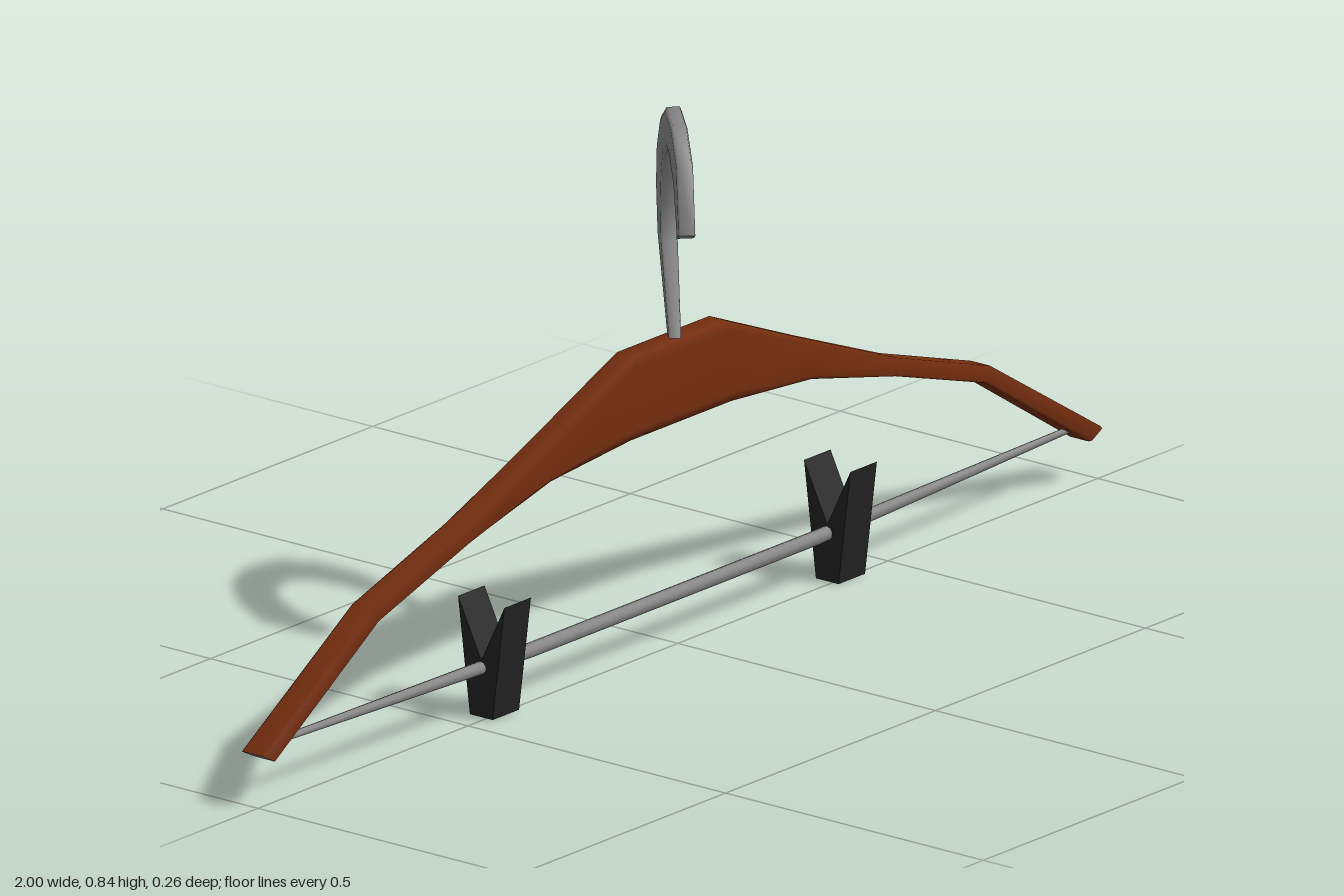
import * as THREE from 'three';

const wood = new THREE.MeshStandardMaterial({ name: 'brownWood', color: 0x752e0f });
const metal = new THREE.MeshStandardMaterial({ name: 'greyMetal', color: 0x858585 });
const black = new THREE.MeshStandardMaterial({ name: 'blackPlastic', color: 0x222222 });

const MID_Z = -0.0115;

// Cross-section outlines in unit coordinates, counter-clockwise
const round = Array.from({ length: 10 }, (_, i) => [Math.cos(i * Math.PI / 5), Math.sin(i * Math.PI / 5)]);
const c = 0.78;
const chamfered = [[1, -c], [1, c], [c, 1], [-c, 1], [-1, c], [-1, -c], [-c, -1], [c, -1]];

// Skin rings running between two edge points p and q, each with a half depth
// vector; side faces are group 0 and the end caps group 1
function loft(outline, rings) {
  const n = outline.length, pos = [], index = [];
  const loops = rings.map(({ p, q, depth }) => {
    const mid = p.clone().add(q).multiplyScalar(0.5);
    const half = p.clone().sub(q).multiplyScalar(0.5);
    return outline.map(([u, v]) => mid.clone().addScaledVector(half, u).addScaledVector(depth, v));
  });
  const push = (loop) => loop.forEach((v) => pos.push(v.x, v.y, v.z));
  loops.forEach(push);
  for (let i = 0; i < loops.length - 1; i++) {
    for (let j = 0; j < n; j++) {
      const k = (j + 1) % n, a = i * n, b = a + n;
      index.push(a + j, a + k, b + j, a + k, b + k, b + j);
    }
  }
  const sides = index.length;
  const first = loops.length * n, last = first + n;
  push(loops[0]);
  push(loops[loops.length - 1]);
  for (let j = 1; j < n - 1; j++) {
    index.push(first, first + j + 1, first + j, last, last + j, last + j + 1);
  }
  const g = new THREE.BufferGeometry();
  g.setAttribute('position', new THREE.Float32BufferAttribute(pos, 3));
  g.setIndex(index);
  g.addGroup(0, sides, 0);
  g.addGroup(sides, index.length - sides, 1);
  g.computeVertexNormals();
  return g;
}

// Mirror half a list of [topX, topY, bottomX, bottomY] stations from -x to +x
function mirrored(half, depthOf) {
  const other = half.map(([a, b, d, e]) => [-a, b, -d, e]).reverse();
  return [...half, ...other].map(([tx, ty, bx, by]) => ({
    p: new THREE.Vector3(tx, ty, MID_Z),
    q: new THREE.Vector3(bx, by, MID_Z),
    depth: new THREE.Vector3(0, 0, depthOf(ty - by)),
  }));
}

export function createModel() {
  const model = new THREE.Group();
  model.name = 'clothesHanger';
  const add = (name, geometry, material) => {
    const mesh = new THREE.Mesh(geometry, material);
    mesh.name = name;
    model.add(mesh);
    return mesh;
  };

  // Wooden shoulder bar with metal end faces
  add('shoulderBar', loft(chamfered, mirrored([
    [-1, 0.084, -0.97, 0.068],
    [-0.735, 0.25, -0.725, 0.225],
    [-0.515, 0.32, -0.51, 0.292],
    [-0.31, 0.402, -0.31, 0.34],
    [-0.11, 0.485, -0.12, 0.355],
  ], () => 0.0225)), [wood, metal]);

  // Trouser rail, thinner toward its ends
  add('trouserRail', loft(round, mirrored([
    [-0.96, 0.095, -0.96, 0.085],
    [-0.34, 0.087, -0.34, 0.064],
  ], (height) => height / 2)), [metal, metal]);

  // Flattened hook turned 45 degrees: outer and inner edge as [t, y, t, y]
  const at = (t, y) => new THREE.Vector3(t - 0.006, y, -t);
  const hookEdges = [
    [0.015, 0.47, -0.005, 0.47],
    [0.104, 0.609, 0.059, 0.609],
    [0.121, 0.682, 0.064, 0.667],
    [0.113, 0.745, 0.057, 0.718],
    [0.077, 0.803, 0.039, 0.761],
    [0.023, 0.843, 0.008, 0.783],
    [-0.041, 0.843, -0.019, 0.785],
    [-0.1, 0.81, -0.064, 0.756],
    [-0.123, 0.707, -0.102, 0.693],
  ];
  add('hook', loft(chamfered.map(([u, v]) => [u, v * 0.9]), hookEdges.map(([ot, oy, it, iy], i) => ({
    p: at(ot, oy),
    q: at(it, iy),
    depth: new THREE.Vector3(-1, 0, -1).multiplyScalar(i === 0 ? 0.007 : 0.01),
  }))), [metal, metal]);

  // Clips with a V-shaped pair of grips, extruded along x
  const profile = new THREE.Shape([
    [-0.022, 0], [0.022, 0], [0.045, 0.183], [0, 0.09], [-0.045, 0.183],
  ].map(([x, y]) => new THREE.Vector2(x, y)));
  const width = 0.063;
  const clip = new THREE.ExtrudeGeometry(profile, { depth: width, bevelEnabled: false });
  clip.translate(0, 0, -width / 2).rotateY(Math.PI / 2);
  for (const [name, x] of [['rightClip', -0.424], ['leftClip', 0.4]]) {
    add(name, clip, black).position.set(x, 0, MID_Z + 0.001);
  }

  return model;
}
